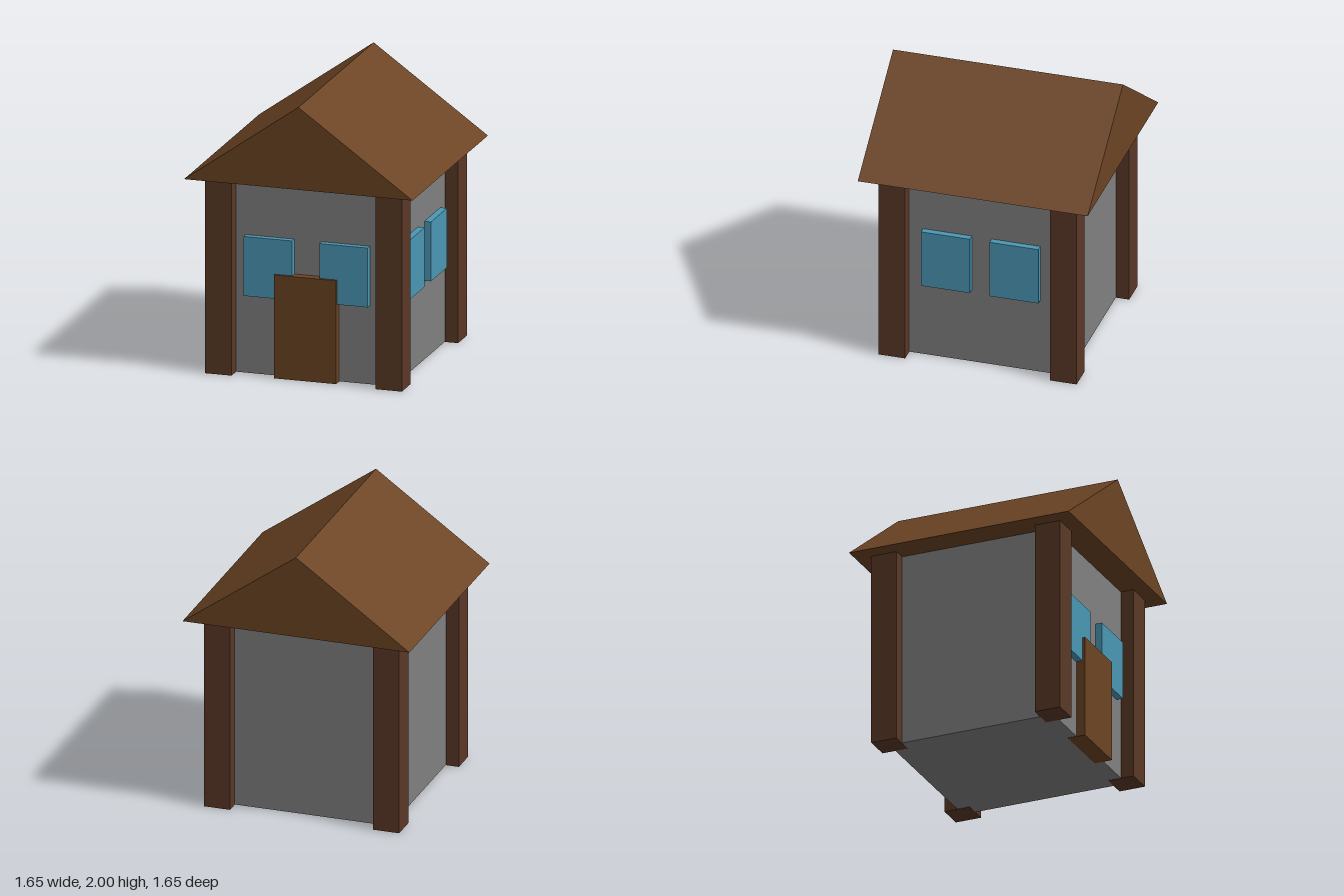
import * as THREE from 'three';

const material = (color) => new THREE.MeshStandardMaterial({ color, flatShading: true });

export function createModel() {
  const house = new THREE.Group();
  house.name = 'house';

  const stone = material(0x808080);
  const timber = material(0x5a3826);
  const plank = material(0x6b4423);
  const glass = material(0x4a97b4);

  const add = (name, geometry, mat, x, y, z) => {
    const mesh = new THREE.Mesh(geometry, mat);
    mesh.name = name;
    mesh.position.set(x, y, z);
    house.add(mesh);
    return mesh;
  };

  const wall = 0.615;  // half width of the walls
  const eave = 1.41;   // height of the walls
  const roofHalf = 0.825;

  // Walls, lifted a hair so the floor does not clash with the post feet
  add('walls', new THREE.BoxGeometry(wall * 2, eave - 0.002, wall * 2), stone, 0, eave / 2 + 0.001, 0);

  // Corner posts, centred on the wall corners
  const post = new THREE.BoxGeometry(0.19, eave, 0.19);
  for (const x of [-wall, wall]) {
    for (const z of [-wall, wall]) add('cornerPost', post, timber, x, eave / 2, z);
  }

  // Gable roof with its ridge running front to back
  const gable = new THREE.Shape([
    new THREE.Vector2(-roofHalf, 0),
    new THREE.Vector2(roofHalf, 0),
    new THREE.Vector2(0, 2 - eave),
  ]);
  const roof = new THREE.ExtrudeGeometry(gable, { depth: roofHalf * 2, bevelEnabled: false });
  add('roof', roof, plank, 0, eave, -roofHalf);

  // Door
  add('door', new THREE.BoxGeometry(0.45, 0.74, 0.13), plank, 0, 0.37, wall);

  // Window pairs on the front and on the left side
  const pane = new THREE.BoxGeometry(0.35, 0.425, 0.095);
  for (const side of [-1, 1]) {
    add('frontWindow', pane, glass, side * 0.273, 0.777, wall);
    add('sideWindow', pane, glass, wall, 0.777, side * 0.246).rotation.y = Math.PI / 2;
  }

  return house;
}
